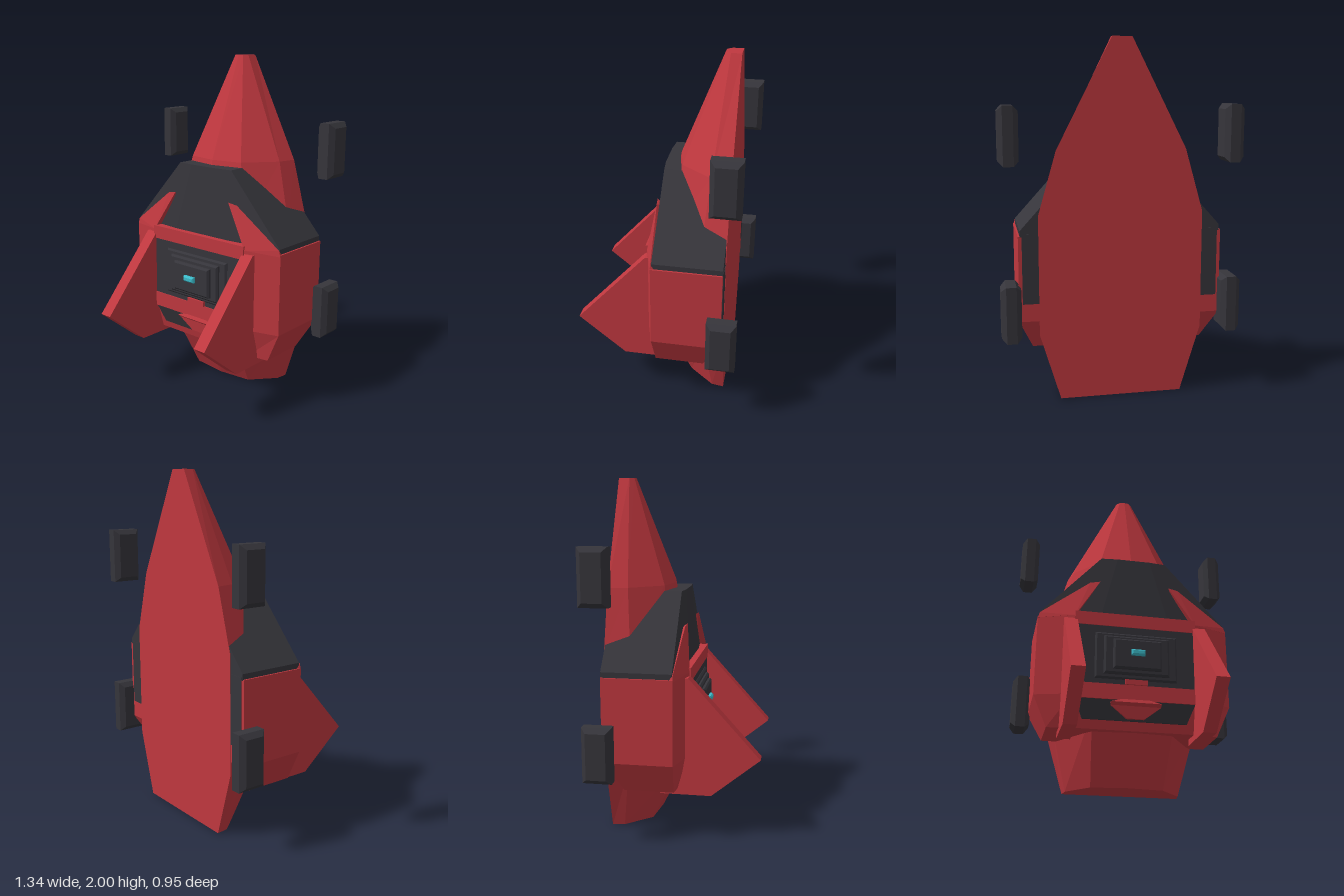
import * as THREE from 'three';
import { ConvexGeometry } from 'three/addons/geometries/ConvexGeometry.js';

const mat = (name, color) => {
  const m = new THREE.MeshStandardMaterial({ color });
  m.name = name;
  return m;
};

// Stack of mirrored cross-sections: [y, [[x, z], ...]] with the +x half listed back to front
function loft(sections) {
  const rings = sections.map(([y, half]) => {
    const right = half.map(([x, z]) => new THREE.Vector3(x, y, z));
    const left = half.filter(([x]) => x > 0).reverse().map(([x, z]) => new THREE.Vector3(-x, y, z));
    return [...right, ...left];
  });
  const pts = [];
  const n = rings[0].length;
  for (let s = 0; s < rings.length - 1; s++) {
    const a = rings[s], b = rings[s + 1];
    for (let i = 0; i < n; i++) {
      const j = (i + 1) % n;
      pts.push(a[i], b[i], a[j], b[i], b[j], a[j]);
    }
  }
  const lo = rings[0], hi = rings[rings.length - 1];
  for (let k = 1; k < n - 1; k++) pts.push(lo[0], lo[k], lo[k + 1], hi[0], hi[k + 1], hi[k]);
  const g = new THREE.BufferGeometry().setFromPoints(pts);
  g.computeVertexNormals();
  return g;
}

// Block with chamfered faces at both ends of its depth, centred on the origin
function chamferBlock(w, h, d, c) {
  const x = w / 2 - c, y = h / 2 - c;
  const shape = new THREE.Shape([[-x, -y], [x, -y], [x, y], [-x, y]].map(p => new THREE.Vector2(...p)));
  return new THREE.ExtrudeGeometry(shape, {
    depth: d - 2 * c, bevelEnabled: true, bevelSize: c, bevelThickness: c, bevelSegments: 1,
  }).translate(0, 0, -d / 2 + c);
}

export function createModel() {
  const model = new THREE.Group();
  const red = mat('red paint', 0xc0383f);
  const dark = mat('dark grey', 0x36353b);
  const cyan = mat('cyan light', 0x3cbccb);

  const add = (name, geometry, material, x = 0, y = 0, z = 0) => {
    const m = new THREE.Mesh(geometry, material);
    m.name = name;
    m.position.set(x, y, z);
    model.add(m);
    return m;
  };
  const bar = (name, material, w, y0, y1, z0, z1) =>
    add(name, new THREE.BoxGeometry(w, y1 - y0, z1 - z0), material, 0, (y0 + y1) / 2, (z0 + z1) / 2);

  // Faceted hull with a flat back and pointed top
  add('hull', loft([
    [0, [[0.345, -0.39], [0.335, -0.32], [0.21, -0.175], [0, -0.15]]],
    [0.38, [[0.46, -0.39], [0.43, -0.27], [0.24, 0.02], [0, 0.04]]],
    [1.05, [[0.46, -0.39], [0.43, -0.25], [0.27, -0.06], [0, 0]]],
    [1.4, [[0.36, -0.39], [0.335, -0.28], [0.19, -0.1], [0, -0.065]]],
    [2, [[0.055, -0.39], [0.05, -0.33], [0.03, -0.305], [0, -0.3]]],
  ]), red);

  // Wide body around the hull
  add('body', loft([
    [0.28, [[0.49, -0.28], [0.49, 0], [0.36, 0.02]]],
    [0.46, [[0.57, -0.385], [0.57, 0.01], [0.36, 0.07]]],
    [0.94, [[0.57, -0.385], [0.57, 0.01], [0.36, 0.07]]],
  ]), red);

  // Sloping dark shoulders
  add('shoulders', loft([
    [0.935, [[0.56, -0.386], [0.56, 0.005], [0.2, 0.04]]],
    [0.97, [[0.56, -0.386], [0.56, 0.005], [0.2, 0.04]]],
    [1.37, [[0.2, -0.386], [0.2, 0], [0.1, 0.01]]],
  ]), dark);
  bar('backPlate', dark, 1.1, 0.56, 0.95, -0.388, -0.38);

  // Front face: band, dark panel, crossbar and lower panel
  bar('upperBand', red, 0.72, 0.885, 0.965, 0, 0.078);
  bar('frontPanel', dark, 0.69, 0.53, 0.885, 0, 0.074);
  bar('crossbar', red, 0.7, 0.44, 0.53, 0, 0.08);
  bar('crossbarTab', red, 0.13, 0.53, 0.56, 0.04, 0.09);
  add('lowerPanel', loft([
    [0.33, [[0.3, 0], [0.3, 0.042]]],
    [0.44, [[0.345, 0], [0.345, 0.073]]],
  ]), dark);
  add('lowerLip', loft([
    [0.34, [[0.05, 0], [0.05, 0.06]]],
    [0.41, [[0.145, 0], [0.145, 0.07], [0.07, 0.1]].slice(0, 2)],
    [0.425, [[0.145, 0], [0.145, 0.09]]],
    [0.445, [[0.08, 0], [0.08, 0.08]]],
  ]), red);

  // Stepped plates with a small light in the middle
  [[0.48, 0.28, 0.087], [0.38, 0.23, 0.108], [0.28, 0.18, 0.132]].forEach(([w, h, z], i) =>
    add('steppedPlate' + (i + 1), chamferBlock(w, h, 0.04, 0.01), dark, 0, 0.7, z - 0.02));
  add('centreLight', chamferBlock(0.08, 0.034, 0.03, 0.008), cyan, 0, 0.705, 0.14);

  // Forward claw plate outline in z, y
  const clawShape = new THREE.Shape(
    [[0.07, 0.92], [-0.09, 0.92], [-0.09, 0.245], [0.2, 0.245], [0.475, 0.47]].map(p => new THREE.Vector2(...p)));
  const clawGeo = new THREE.ExtrudeGeometry(clawShape, { depth: 0.077, bevelEnabled: false })
    .translate(0, 0, -0.0385).rotateY(-Math.PI / 2);
  const wheelGeo = chamferBlock(0.165, 0.315, 0.11, 0.027).rotateY(Math.PI / 2);

  // Paired parts on both sides
  for (const [side, s] of [['left', 1], ['right', -1]]) {
    add(side + 'Claw', clawGeo, red, s * 0.383);
    add(side + 'UpperWheel', wheelGeo, dark, s * 0.615, 1.485, -0.393);
    add(side + 'LowerWheel', wheelGeo, dark, s * 0.615, 0.525, -0.393);
    const wing = [
      [0.57, 0.93, 0.012], [0.56, 0.965, 0.01], [0.36, 0.94, 0.07], [0.35, 0.965, 0.065],
      [0.21, 1.19, 0.036], [0.27, 1.18, 0.03], [0.56, 0.94, -0.01], [0.36, 0.94, 0], [0.23, 1.17, 0.005],
    ];
    add(side + 'Wing', new ConvexGeometry(wing.map(([x, y, z]) => new THREE.Vector3(s * x, y, z))), red);
  }
  return model;
}
